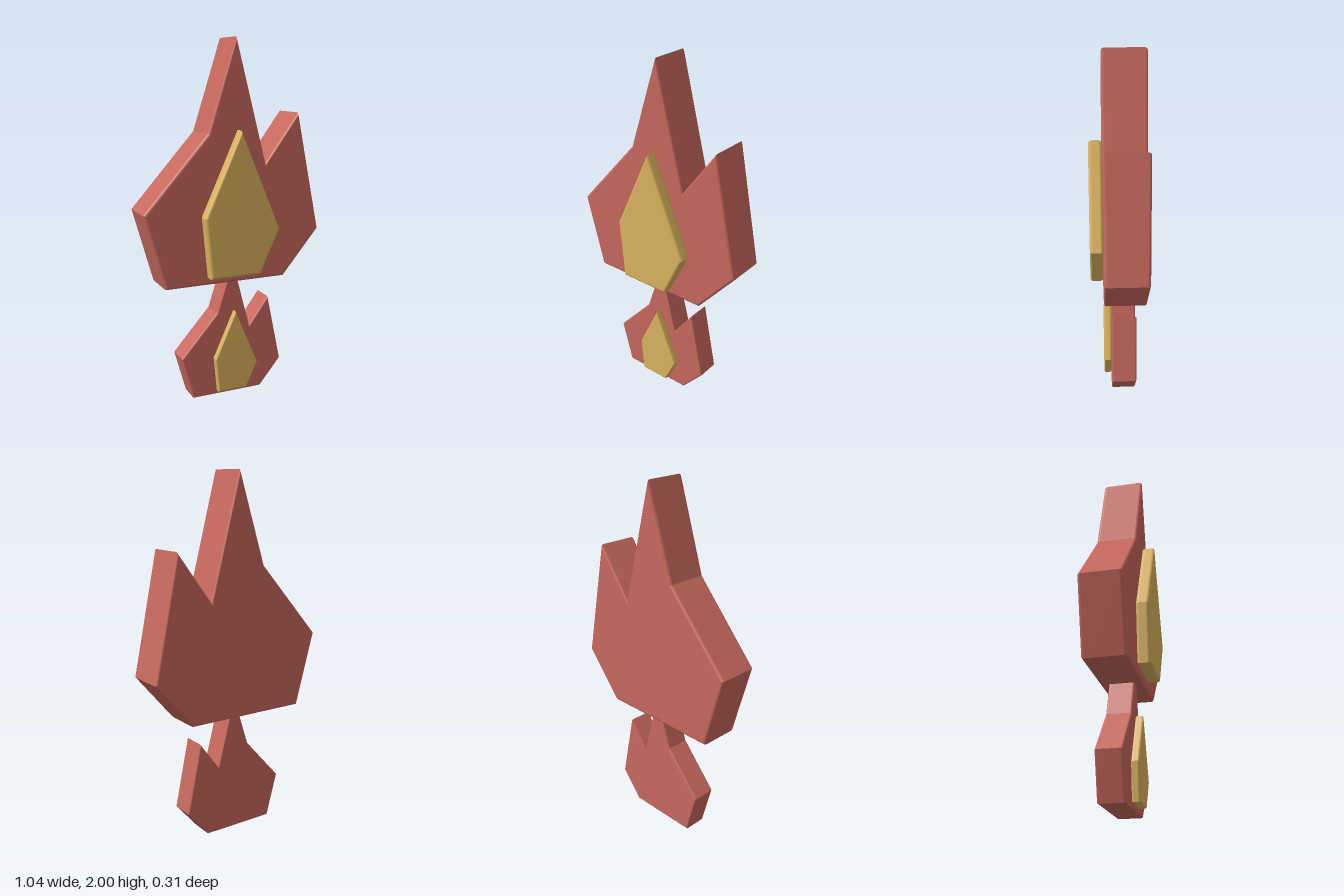
import * as THREE from 'three';

const flameOutline = [
  [-0.41, 0], [0.3, 0], [0.52, 0.26], [0.38, 0.925],
  [0.18, 0.655], [0.003, 1.325], [-0.16, 0.825], [-0.525, 0.415],
];
const coreOutline = [[-0.175, 0.048], [0.12, 0.048], [0.235, 0.295], [0.003, 0.843], [-0.207, 0.385]];

// Slab with rounded edges whose outer silhouette is the outline, from z0 to z1
function slab(name, outline, z0, z1, material) {
  const bevel = 0.015;
  const shape = new THREE.Shape(outline.map(([x, y]) => new THREE.Vector2(x, y)));
  const geometry = new THREE.ExtrudeGeometry(shape, {
    depth: z1 - z0 - 2 * bevel,
    bevelThickness: bevel,
    bevelSize: bevel,
    bevelOffset: -bevel,
    bevelSegments: 4,
  });
  geometry.translate(0, 0, z0 + bevel);
  const mesh = new THREE.Mesh(geometry, material);
  mesh.name = name;
  return mesh;
}

export function createModel() {
  const red = new THREE.MeshStandardMaterial({ color: 0xc8695d });
  red.name = 'flame red';
  const gold = new THREE.MeshStandardMaterial({ color: 0xdcb45e });
  gold.name = 'core gold';

  // A flame with its bright core on the front
  function flame(name, scale, y, z) {
    const group = new THREE.Group();
    group.name = name;
    group.add(
      slab('flameBody', flameOutline, -0.117, 0.117, red),
      slab('flameCore', coreOutline, 0.117, 0.188, gold),
    );
    group.scale.setScalar(scale);
    group.position.set(0, y, z);
    return group;
  }

  const model = new THREE.Group();
  model.name = 'flames';
  // The small flame's tip reaches up into the large one
  model.add(flame('largeFlame', 1, 0.675, -0.037), flame('smallFlame', 0.59, 0, -0.034));
  return model;
}
